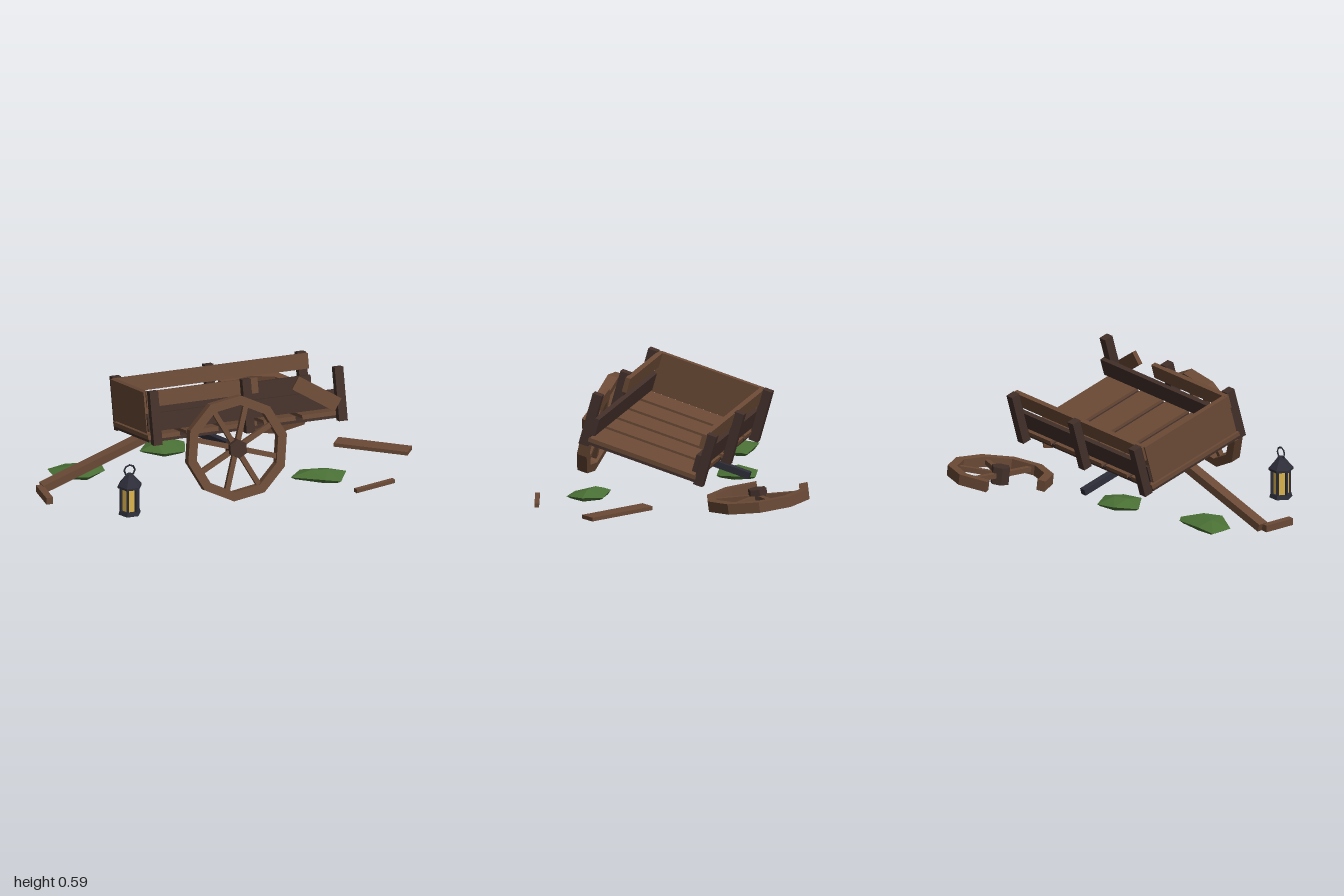
import * as THREE from 'three';
import { ConvexGeometry } from 'three/addons/geometries/ConvexGeometry.js';

const paint = (color) => new THREE.MeshStandardMaterial({ color, flatShading: true });
const wood = paint(0x6b4a36);
const darkWood = paint(0x43302a);
const iron = paint(0x2e2e3a);
const glass = paint(0xe0b850);
const leaf = paint(0x4a7035);

function add(parent, name, geometry, material, x = 0, y = 0, z = 0) {
  const mesh = new THREE.Mesh(geometry, material);
  mesh.name = name;
  mesh.position.set(x, y, z);
  parent.add(mesh);
  return mesh;
}

// Box given by its minimum and maximum corners
function slab(parent, name, material, [x0, y0, z0], [x1, y1, z1]) {
  return add(parent, name, new THREE.BoxGeometry(x1 - x0, y1 - y0, z1 - z0), material,
    (x0 + x1) / 2, (y0 + y1) / 2, (z0 + z1) / 2);
}

// Square beam running between two points
function beam(parent, name, material, from, to, width, height) {
  const a = new THREE.Vector3(...from), b = new THREE.Vector3(...to);
  const mesh = add(parent, name, new THREE.BoxGeometry(width, height, a.distanceTo(b)), material);
  mesh.position.copy(a).add(b).multiplyScalar(0.5);
  mesh.lookAt(b);
  return mesh;
}

// Ten-sided wheel in the XY plane; segments and spokes are given by angle in degrees
function wheel(name, startAngle, segments, spokeAngles) {
  const group = new THREE.Group();
  group.name = name;
  const outer = 0.273, inner = 0.225, depth = 0.055;
  const at = (r, deg) => {
    const a = THREE.MathUtils.degToRad(deg);
    return new THREE.Vector2(r * Math.cos(a), r * Math.sin(a));
  };
  for (let i = 0; i < segments; i++) {
    const a = startAngle + i * 36, b = a + 36;
    const shape = new THREE.Shape([at(inner, a), at(outer, a), at(outer, b), at(inner, b)]);
    const geometry = new THREE.ExtrudeGeometry(shape, { depth, bevelEnabled: false });
    add(group, 'rimSegment', geometry, wood, 0, 0, -depth / 2);
  }
  for (const deg of spokeAngles) {
    const p = at(0.13, deg);
    const spoke = add(group, 'spoke', new THREE.BoxGeometry(0.2, 0.026, 0.026), wood, p.x, p.y, 0);
    spoke.rotation.z = THREE.MathUtils.degToRad(deg);
  }
  const hub = add(group, 'hub', new THREE.CylinderGeometry(0.05, 0.05, 0.09, 6), darkWood);
  hub.rotation.x = Math.PI / 2;
  return group;
}

// Tilted cart body, built level and then rotated as a whole
function cartBody() {
  const cart = new THREE.Group();
  cart.name = 'cart';
  slab(cart, 'floorBase', darkWood, [-0.47, 0.185, -0.1], [0.585, 0.206, 0.485]);
  for (let i = 0; i < 5; i++) {
    const x = -0.475 + i * 0.2075;
    slab(cart, 'floorPlank', wood, [x, 0.2, -0.105], [x + 0.172 + (i === 4 ? 0.06 : 0), 0.222, 0.49]);
  }
  slab(cart, 'headboard', wood, [-0.475, 0.232, -0.09], [-0.445, 0.445, 0.475]);

  // Side boards; the upper front one has snapped short
  for (const [side, z, upperEnd] of [['front', 0.475, 0.135], ['back', -0.09, 0.585]]) {
    slab(cart, side + 'LowerBoard', darkWood, [-0.47, 0.24, z - 0.013], [0.59, 0.332, z + 0.013]);
    slab(cart, side + 'UpperBoard', wood, [-0.465, 0.367, z - 0.013], [upperEnd, 0.446, z + 0.013]);
  }
  for (const z of [0.51, -0.125]) {
    for (const x of [-0.437, 0.062, 0.56]) {
      slab(cart, 'sidePost', darkWood, [x - 0.023, 0.173, z - 0.025], [x + 0.023, 0.452, z + 0.025]);
    }
  }
  const loose = add(cart, 'hangingBoard', new THREE.BoxGeometry(0.25, 0.075, 0.022), wood, 0.43, 0.33, 0.53);
  loose.rotation.set(0, -0.15, -0.58);

  // Axle with the remaining wheel
  slab(cart, 'axle', iron, [-0.055, 0.1, -0.24], [-0.02, 0.134, 0.62]);
  const standing = wheel('standingWheel', 9, 10, [0, 1, 2, 3, 4, 5, 6, 7].map((i) => 27 + i * 45));
  standing.position.set(-0.04, 0.115, 0.583);
  cart.add(standing);
  cart.rotation.x = -0.275;
  return cart;
}

function lantern() {
  const group = new THREE.Group();
  group.name = 'lantern';
  const hex = (name, top, bottom, y0, y1, material) => {
    const mesh = add(group, name, new THREE.CylinderGeometry(top, bottom, y1 - y0, 6), material, 0, (y0 + y1) / 2, 0);
    mesh.rotation.y = Math.PI / 6;
  };
  hex('lanternBase', 0.054, 0.06, 0, 0.022, iron);
  hex('lanternGlass', 0.044, 0.044, 0.022, 0.15, glass);
  hex('lanternEave', 0.064, 0.064, 0.148, 0.16, iron);
  hex('lanternRoof', 0.026, 0.064, 0.16, 0.205, iron);
  hex('lanternCap', 0.016, 0.026, 0.205, 0.22, iron);
  for (let i = 0; i < 6; i++) {
    const a = i * Math.PI / 3;
    const bar = add(group, 'lanternBar', new THREE.BoxGeometry(0.012, 0.13, 0.012), iron,
      0.046 * Math.cos(a), 0.086, 0.046 * Math.sin(a));
    bar.rotation.y = -a;
  }
  add(group, 'lanternRing', new THREE.TorusGeometry(0.029, 0.005, 4, 8), iron, 0, 0.24, 0);
  group.position.set(-0.625, 0, 0.565);
  return group;
}

// Low faceted leaf clump: flat outline on the ground rising to a short ridge
function leafClump(parent, outline, ridge) {
  const cx = outline.reduce((s, p) => s + p[0], 0) / outline.length;
  const cz = outline.reduce((s, p) => s + p[1], 0) / outline.length;
  const points = ridge.map(([x, z]) => new THREE.Vector3(x, 0.045, z));
  outline.forEach(([x, z], i) => {
    points.push(new THREE.Vector3(x, i % 2 ? 0.022 : 0.012, z));
    points.push(new THREE.Vector3(cx + (x - cx) * 0.85, 0, cz + (z - cz) * 0.85));
  });
  add(parent, 'leafClump', new ConvexGeometry(points), leaf);
}

export function createModel() {
  const model = new THREE.Group();
  model.name = 'brokenCart';
  model.add(cartBody(), lantern());

  // Draw shaft resting on the ground, with its crossbar stub
  beam(model, 'drawShaft', wood, [-0.39, 0.215, 0.125], [-0.965, 0.025, 0.172], 0.058, 0.042);
  beam(model, 'shaftCrossbar', wood, [-0.982, 0.024, 0.17], [-0.982, 0.024, 0.345], 0.036, 0.036);

  // Fallen wheel with a gap in its rim
  const fallen = wheel('fallenWheel', 198, 8, [97, 37, -22, -82]);
  fallen.position.set(0.415, 0.053, -0.442);
  fallen.rotation.x = -Math.PI / 2 + 0.13;
  model.add(fallen);

  // Scattered boards
  const board = add(model, 'fallenBoard', new THREE.BoxGeometry(0.395, 0.02, 0.083), wood, 0.808, 0.02, 0.193);
  board.rotation.y = -0.61;
  const stick = add(model, 'fallenStick', new THREE.BoxGeometry(0.235, 0.02, 0.024), wood, 0.662, 0.018, 0.665);
  stick.rotation.y = 0.27;

  leafClump(model, [[-0.86, -0.07], [-0.76, -0.085], [-0.6, -0.08], [-0.58, -0.055], [-0.585, 0.04], [-0.7, 0.12], [-0.855, 0.05]],
    [[-0.76, 0.0], [-0.66, 0.03]]);
  leafClump(model, [[0.29, 0.42], [0.36, 0.36], [0.5, 0.36], [0.58, 0.45], [0.52, 0.55], [0.44, 0.53]],
    [[0.4, 0.43], [0.48, 0.45]]);
  leafClump(model, [[-0.34, -0.14], [-0.26, -0.24], [-0.15, -0.26], [-0.09, -0.16], [-0.12, -0.06], [-0.24, -0.04]],
    [[-0.25, -0.14], [-0.18, -0.17]]);
  return model;
}
